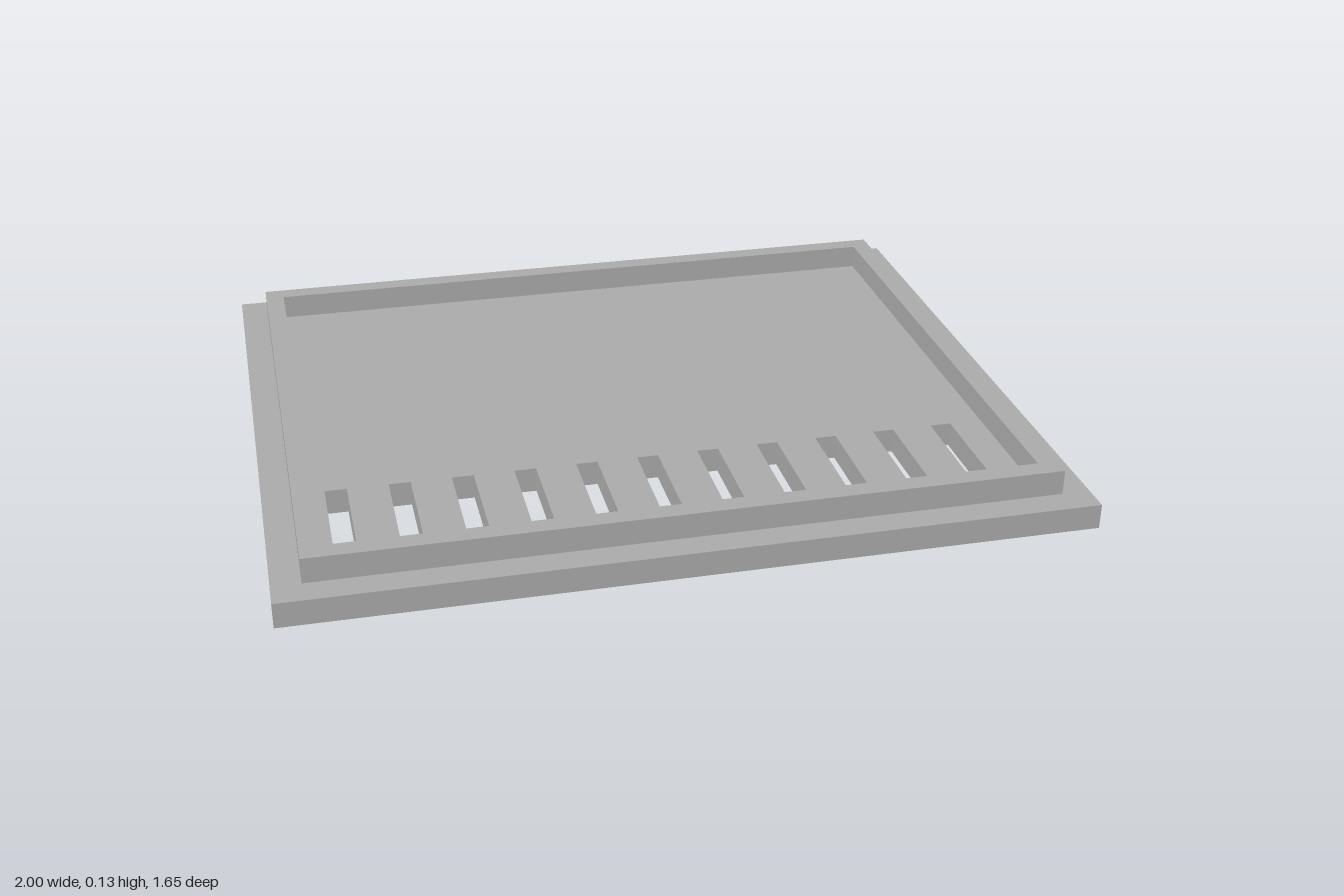
import * as THREE from 'three';

// Adds a rectangular outline to a shape or hole path
function rect(path, x0, y0, x1, y1) {
  path.moveTo(x0, y0);
  path.lineTo(x1, y0);
  path.lineTo(x1, y1);
  path.lineTo(x0, y1);
  path.closePath();
  return path;
}

// Extrudes a plan shape upward from the given height (shape y becomes -z)
function slab(name, shape, y, height, material) {
  const geometry = new THREE.ExtrudeGeometry(shape, { depth: height, bevelEnabled: false });
  geometry.rotateX(-Math.PI / 2);
  geometry.translate(0, y, 0);
  const mesh = new THREE.Mesh(geometry, material);
  mesh.name = name;
  return mesh;
}

export function createModel() {
  const group = new THREE.Group();
  group.name = 'ventedCover';
  const grey = new THREE.MeshStandardMaterial({ color: 0xaaaaaa });
  grey.name = 'grey';

  const thickness = 0.065;

  // Base plate with a row of vent slots near the front
  const plate = rect(new THREE.Shape(), -1, -0.827, 1, 0.827);
  const slots = 11, slotWidth = 0.055, firstSlot = -0.845, pitch = 0.1583;
  for (let i = 0; i < slots; i++) {
    const x = firstSlot + i * pitch;
    plate.holes.push(rect(new THREE.Path(), x, -0.612, x + slotWidth, -0.348));
  }
  group.add(slab('basePlate', plate, 0, thickness, grey));

  // Raised rim set in from the plate edge
  const rim = rect(new THREE.Shape(), -0.928, -0.756, 0.928, 0.756);
  rim.holes.push(rect(new THREE.Path(), -0.878, -0.706, 0.878, 0.706));
  group.add(slab('rim', rim, thickness, thickness, grey));

  return group;
}
